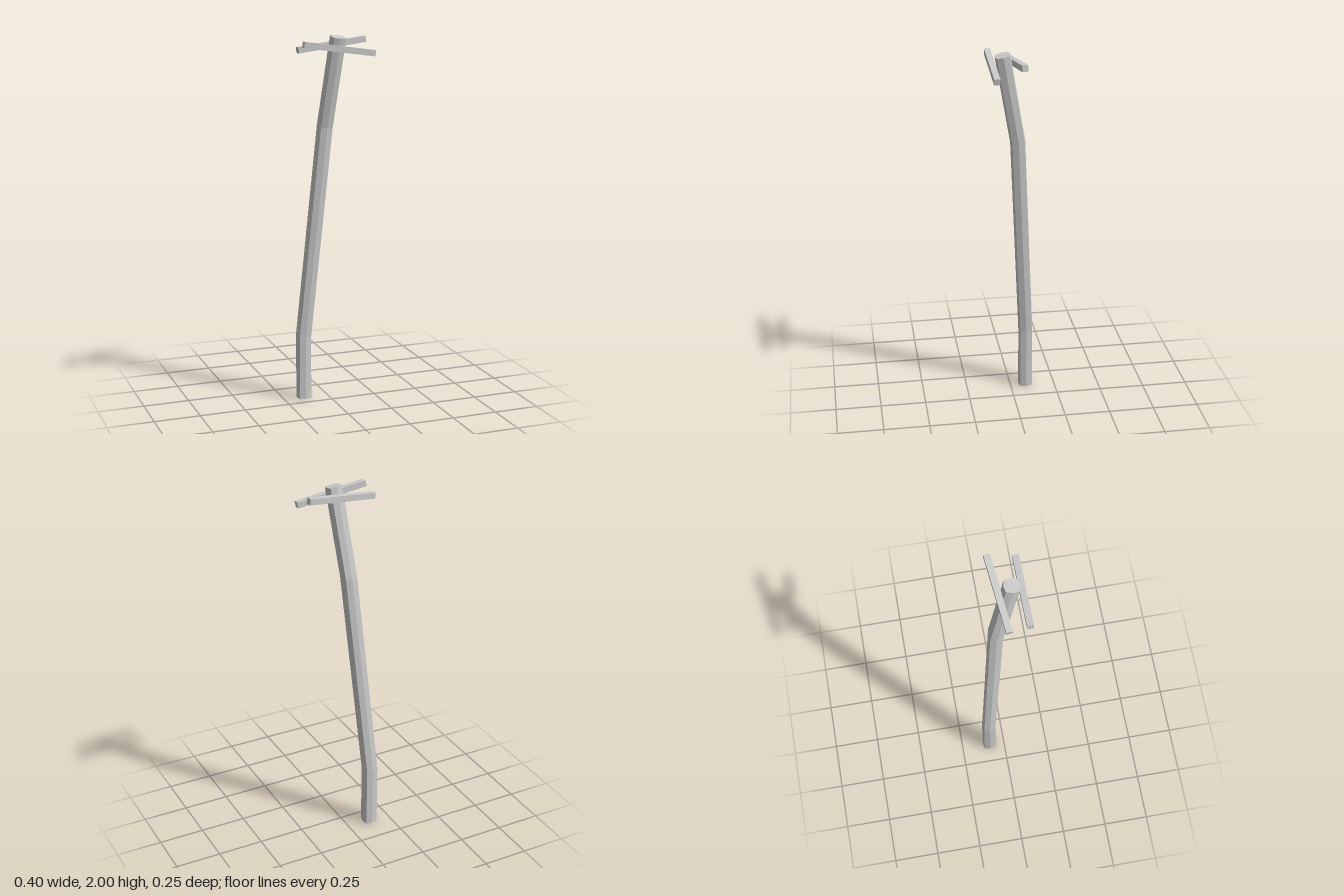
import * as THREE from 'three';

const material = new THREE.MeshStandardMaterial({ color: 0xcccccc, flatShading: true });

// Pole rings from the foot up: centre x, y, z and the tilt of the ring along x and z
const rings = [
  { c: [-0.135, 0, -0.087], tx: 0, tz: 0 },
  { c: [-0.135, 0.355, -0.087], tx: -0.05, tz: -0.03 },
  { c: [-0.032, 1.515, -0.026], tx: -0.09, tz: -0.11 },
  { c: [0.011, 1.991, 0.059], tx: -0.09, tz: -0.18 },
];

// Bent eight-sided pole with slightly squared-off corners
function createPole() {
  const geometry = new THREE.CylinderGeometry(1, 1, 3, 8, 3);
  const p = geometry.attributes.position;
  for (let i = 0; i < p.count; i++) {
    const { c, tx, tz } = rings[Math.round(p.getY(i) + 1.5)];
    const x = p.getX(i), z = p.getZ(i);
    const r = Math.abs(x * z) > 0.1 ? 0.046 : 0.04;
    p.setXYZ(i, c[0] + x * r, c[1] + (x * tx + z * tz) * r, c[2] + z * r);
  }
  geometry.computeVertexNormals();
  const pole = new THREE.Mesh(geometry, material);
  pole.name = 'pole';
  return pole;
}

// Thin square crossbar, turned by yaw and roll
function createBar(name, y, z, yaw, roll) {
  const bar = new THREE.Mesh(new THREE.BoxGeometry(0.394, 0.032, 0.032), material);
  bar.name = name;
  bar.position.set(-0.001, y, z);
  bar.rotation.set(0, yaw, roll, 'YZX');
  return bar;
}

export function createModel() {
  const group = new THREE.Group();
  group.name = 'utilityPole';
  group.add(
    createPole(),
    createBar('frontCrossbar', 1.932, 0.111, 0, -0.135),
    createBar('backCrossbar', 1.947, -0.008, 0.107, 0.118),
  );
  return group;
}
